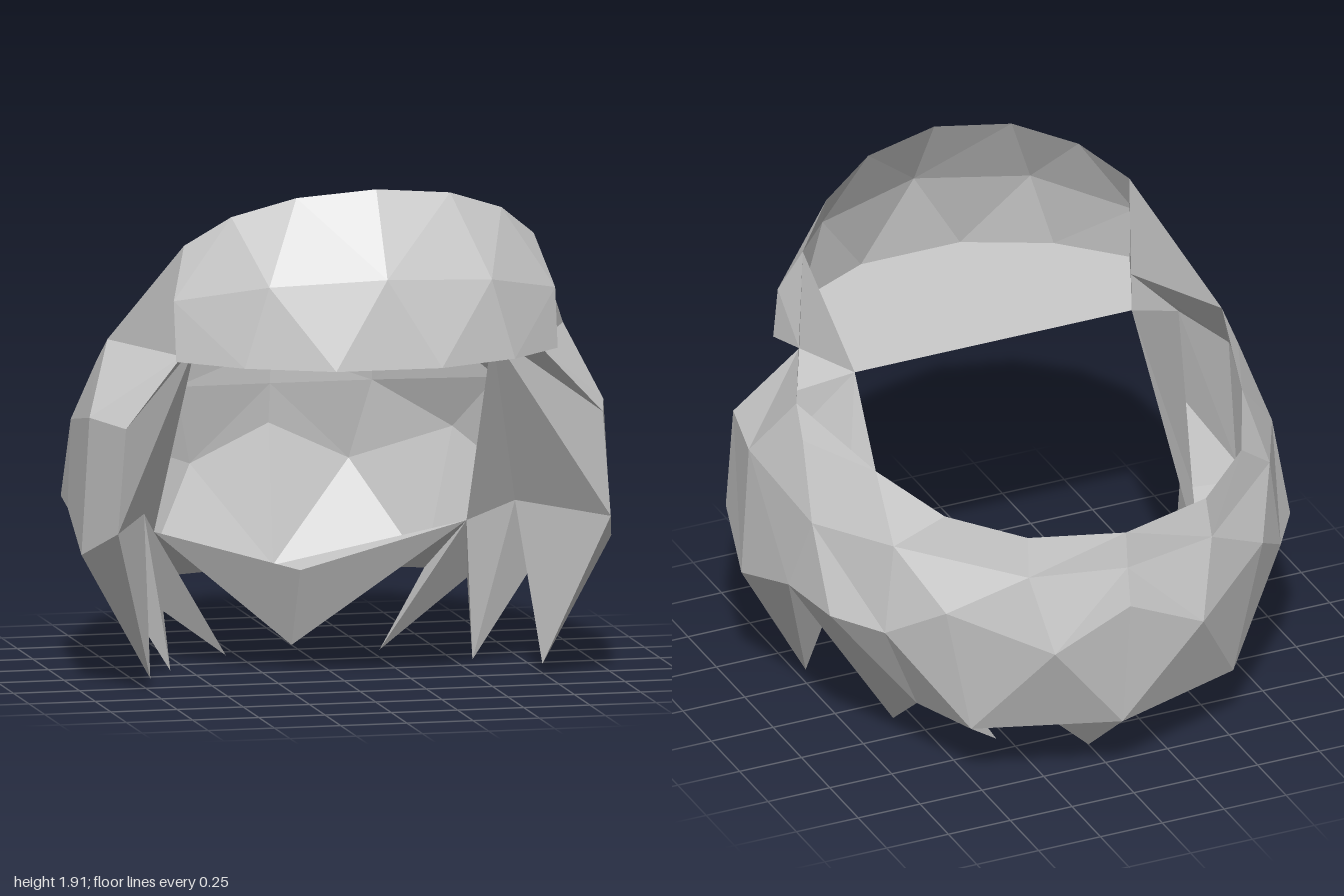
import * as THREE from 'three';

// Key points on the +x half; the other half is mirrored.
const fringePts = {
  t0: [0, 1.91, 0.76], t1: [0.29, 1.88, 0.71], t2: [0.51, 1.8, 0.6], t3: [0.66, 1.68, 0.48],
  m0: [0, 1.6, 0.94], m1: [0.42, 1.57, 0.83], m2: [0.72, 1.49, 0.57],
  b0: [0, 1.27, 0.97], b1: [0.2, 1.27, 0.97], b2: [0.51, 1.27, 0.82], b3: [0.72, 1.27, 0.61],
  temple: [0.67, 1.27, 0.49], inner: [0.56, 1.27, 0.24], mid: [0, 1.27, 0.24],
};
const shellPts = {
  // open top rim, front to back
  rim1: [0.86, 1.28, 0.1], rim2: [0.74, 1.19, -0.34], rim3: [0.6, 1.12, -0.64],
  rim4: [0.36, 1.08, -0.85], rim5: [0, 1.06, -0.93],
  // upper band
  up0: [0.9, 1.02, 0.57], up1: [0.97, 1.02, 0.28], up2: [0.88, 1.18, 0], up3: [0.93, 0.94, -0.19],
  up4: [0.76, 0.98, -0.54], up5: [0.37, 0.93, -0.88], up6: [0, 0.92, -0.945],
  // widest band
  w0: [0.93, 0.63, 0.57], w1: [1, 0.51, 0.28], w2: [0.97, 0.63, -0.07], w3: [0.93, 0.63, -0.35],
  w4: [0.8, 0.63, -0.55], w5: [0.64, 0.77, -0.74], w6: [0.3, 0.63, -0.96], w7: [0, 0.77, -0.97],
  // notches between the locks
  n1: [0.63, 0.25, -0.46], n2: [0.53, 0.25, -0.72], n3: [0, 0.25, -0.9],
  // lock tips
  tip1: [0.74, 0.04, 0.28], tip2: [0.57, 0, -0.12], tip3: [0.29, 0, -0.42], tip4: [0, 0, -0.6],
  // inner side of the locks
  in1: [0.7, 0.61, 0.01], in2: [0.59, 0.49, -0.3], in3: [0, 0.3, -0.46],
};
const P = { ...fringePts, ...shellPts };

// Each fan reads "centre: ring of neighbours, counter-clockwise".
const parts = {
  fringe: [
    'm0: b0 b1 m1 t1 t0', 'm1: b1 b2 m2 t2 t1', 'b2: b3 m2', 'm2: b3 temple t3 t2',
  ],
  fringeUnderside: ['mid: inner temple b3 b2 b1 b0', 'inner: t3 temple'],
  sideHair: [
    't3: temple rim1', 'up1: rim1 temple up0 w1 w2 up3 up2 rim1', 'up0: w0 w1',
    'rim1: up2 rim2', 'up3: w2 w3 w4 up4 rim2 up2',
  ],
  backHair: [
    'up4: w5 up5 rim3 rim2', 'rim3: up5 rim4', 'up5: up6 rim5 rim4',
    'w4: n1 n2 w5 up4', 'w5: n2 w6 up5', 'w6: n2 n3 w7 up6 up5',
  ],
  outerLocks: ['w1: w0 tip1 w2', 'w3: w2 tip2 n1 w4', 'n1: tip3 n2'],
  innerLocks: [
    'up0: temple inner w0', 'inner: in2 in1 w0', 'in1: tip1 w0', 'in1: in2 tip2 w2', 'in1: w2 tip1',
    'in2: n1 tip2', 'in2: tip3 n1', 'in2: n2 tip3', 'in2: n3 n2', 'in2: tip4 n3', 'in2: in3 tip4',
  ],
};

// Faceted geometry of both halves from a list of fans.
function mirroredFans(fans) {
  const pos = [];
  for (const side of [1, -1]) {
    for (const fan of fans) {
      const [centre, ...ring] = fan.replace(':', '').split(' ');
      for (let i = 0; i < ring.length - 1; i++) {
        const tri = [centre, ring[i], ring[i + 1]];
        if (side < 0) tri.reverse();
        for (const key of tri) pos.push(P[key][0] * side, P[key][1], P[key][2]);
      }
    }
  }
  const geo = new THREE.BufferGeometry();
  geo.setAttribute('position', new THREE.Float32BufferAttribute(pos, 3));
  geo.computeVertexNormals();
  return geo;
}

export function createModel() {
  const group = new THREE.Group();
  group.name = 'hair';
  const material = new THREE.MeshStandardMaterial({
    color: 0xcccccc, flatShading: true, side: THREE.DoubleSide,
  });
  for (const [name, fans] of Object.entries(parts)) {
    const mesh = new THREE.Mesh(mirroredFans(fans), material);
    mesh.name = name;
    group.add(mesh);
  }
  return group;
}
